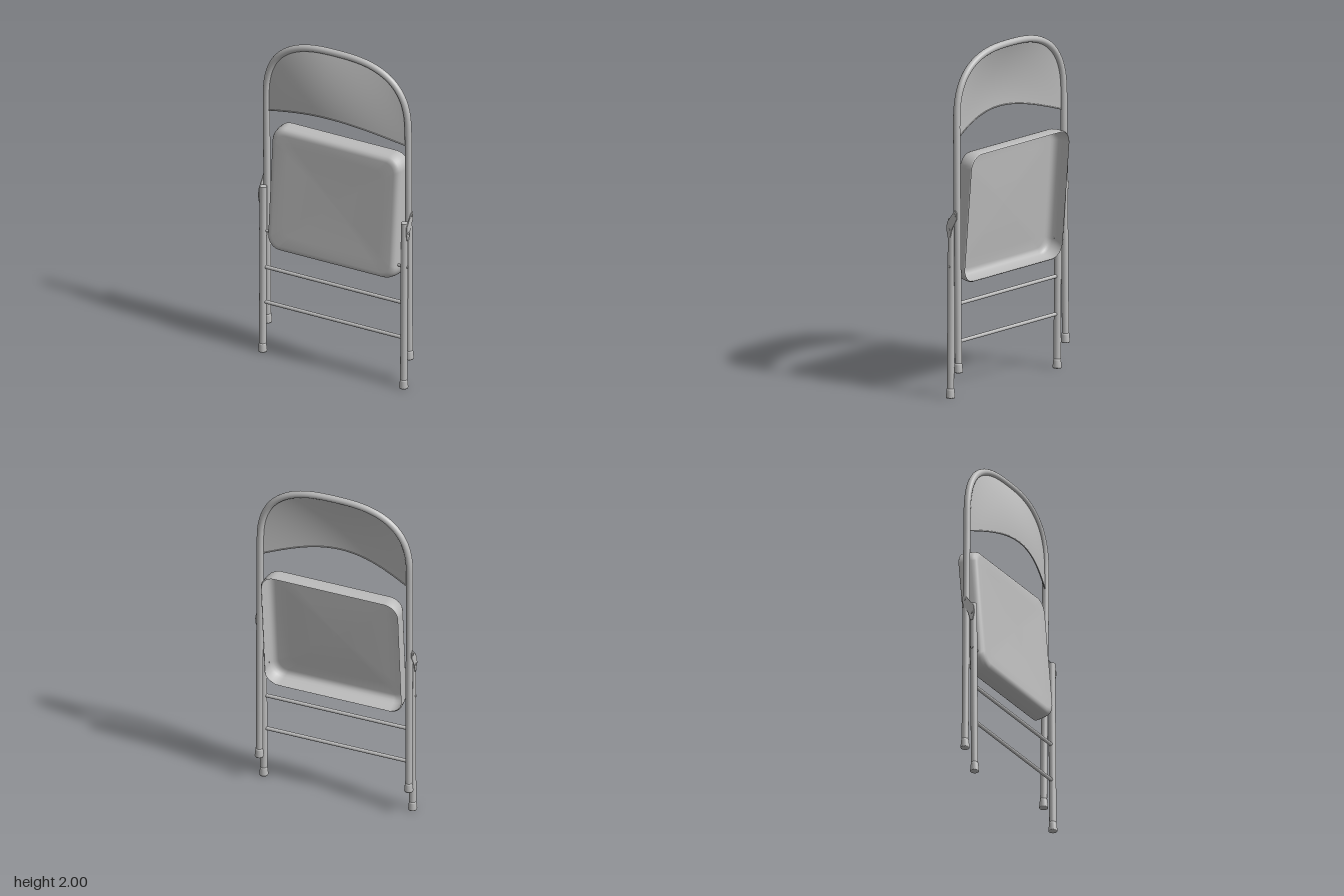
import * as THREE from 'three';

export function createModel() {
  const steel = new THREE.MeshStandardMaterial({ color: 0xbcbcbc, side: THREE.DoubleSide });
  steel.name = 'grey painted steel';

  const model = new THREE.Group();
  const chair = new THREE.Group();
  chair.name = 'foldedChair';
  chair.rotation.y = -0.535;
  model.add(chair);

  const add = (name, geometry) => {
    const mesh = new THREE.Mesh(geometry, steel);
    mesh.name = name;
    chair.add(mesh);
    return mesh;
  };
  const V = (x, y, z) => new THREE.Vector3(x, y, z);
  // straight round bar between two points
  const bar = (name, a, b, r, sides = 16) => {
    const mesh = add(name, new THREE.CylinderGeometry(r, r, a.distanceTo(b), sides));
    mesh.position.copy(a).add(b).multiplyScalar(0.5);
    mesh.quaternion.setFromUnitVectors(V(0, 1, 0), b.clone().sub(a).normalize());
    return mesh;
  };

  // Long frame: two legs joined by a squarish arch
  const HALF = 0.457, SPRING = 1.58, RISE = 0.4, POWER = 2.7;
  const frameZ = y => -0.026 + 0.009 * y;
  const archY = s => SPRING + RISE * Math.pow(Math.max(0, 1 - Math.pow(Math.abs(s), POWER)), 1 / POWER);
  const path = [0.18, 0.6, 1.0, 1.3, 1.48].map(y => V(-HALF, y, frameZ(y)));
  for (let i = 0; i <= 24; i++) {
    const a = Math.PI * (1 - i / 24), c = Math.cos(a);
    const x = Math.sign(c) * Math.pow(Math.abs(c), 2 / POWER);
    const y = SPRING + RISE * Math.pow(Math.abs(Math.sin(a)), 2 / POWER);
    path.push(V(HALF * x, y, frameZ(y)));
  }
  for (const y of [1.48, 1.3, 1.0, 0.6, 0.18]) path.push(V(HALF, y, frameZ(y)));
  add('longFrame', new THREE.TubeGeometry(new THREE.CatmullRomCurve3(path), 160, 0.02, 14));

  // Backrest: sheet filling the arch, bowed towards +z along its lower edge
  const sheetPoint = (s, t) => {
    const low = 1.505 + 0.095 * Math.cos(s * Math.PI / 2);
    const y = low + (archY(s) - low) * t;
    return V(HALF * s, y, frameZ(y) + 0.082 * Math.cos(s * Math.PI / 2) * (1 - t * t));
  };
  const sheet = new THREE.PlaneGeometry(2, 1, 48, 14);
  const sp = sheet.attributes.position;
  for (let i = 0; i < sp.count; i++) {
    const s = Math.sin(sp.getX(i) * Math.PI / 2); // closer columns near the sides
    const p = sheetPoint(s, sp.getY(i) + 0.5);
    sp.setXYZ(i, p.x, p.y, p.z);
  }
  sheet.computeVertexNormals();
  add('backrest', sheet);
  const hem = [];
  for (let i = 0; i <= 16; i++) hem.push(sheetPoint(i / 8 - 1, 0));
  add('backrestHem', new THREE.TubeGeometry(new THREE.CatmullRomCurve3(hem), 48, 0.004, 6));

  // Seat: hollow pan lofted from rounded rectangles, open towards -z
  const loop = (hw, hh, r) => {
    const pts = [];
    [[1, 1], [-1, 1], [-1, -1], [1, -1]].forEach(([sx, sy], q) => {
      for (let k = 0; k <= 8; k++) {
        const a = (q + k / 8) * Math.PI / 2;
        pts.push([sx * (hw - r) + r * Math.cos(a), sy * (hh - r) + r * Math.sin(a)]);
      }
    });
    return pts;
  };
  // [inset, z, scale]; the last loops shrink to the middle of the slightly dished face
  const rings = [[0.006, -0.058, 1], [0, -0.052, 1], [0.002, -0.012, 1], [0.007, 0.02, 1], [0.014, 0.036, 1],
    [0.026, 0.046, 1], [0.043, 0.05, 1], [0.043, 0.048, 0.8], [0.043, 0.045, 0.55], [0.043, 0.043, 0.28], [0.043, 0.042, 0]];
  const pos = [], idx = [];
  let n = 0;
  for (const [inset, z, k] of rings) {
    const pts = loop(0.422 - inset, 0.38 - inset, 0.085 - inset * 0.6);
    n = pts.length;
    for (const [x, y] of pts) pos.push(x * k, y * k, z);
  }
  for (let r = 0; r < rings.length - 1; r++) {
    for (let i = 0; i < n; i++) {
      const a = r * n + i, b = r * n + (i + 1) % n;
      idx.push(a, b, a + n, b, b + n, a + n);
    }
  }
  const pan = new THREE.BufferGeometry();
  pan.setAttribute('position', new THREE.Float32BufferAttribute(pos, 3));
  pan.setIndex(idx);
  pan.computeVertexNormals();
  const seat = add('seat', pan);
  seat.position.set(0, 1.043, -0.006);
  seat.rotation.x = -0.085;

  // Feet: flared caps
  const cap = new THREE.LatheGeometry([[0, 0], [0.024, 0], [0.026, 0.006], [0.022, 0.045], [0.021, 0.055], [0, 0.056]]
    .map(([x, y]) => new THREE.Vector2(x, y)), 18);

  // Hinge plate outline in (z, y)
  const plate = new THREE.Shape([[-0.03, 1.085], [-0.018, 1.1], [-0.006, 1.085], [0.042, 1.02], [0.046, 0.98],
    [0.036, 0.935], [0.02, 0.935], [0.008, 0.98], [-0.03, 1.05]].map(([z, y]) => new THREE.Vector2(-z, y)));
  const plateGeometry = new THREE.ExtrudeGeometry(plate, { depth: 0.005, bevelEnabled: false });

  const legZ = y => 0.036 - 0.008 * y;
  for (const side of [-1, 1]) {
    const x = side * 0.455;
    // Short frame leg with a flat top
    bar('shortLeg', V(x, 0.03, legZ(0)), V(x, 1.04, legZ(1)), 0.0205);
    add('shortLegFoot', cap).position.set(x, 0, legZ(0));
    add('longLegFoot', cap).position.set(side * HALF, 0.158, frameZ(0.16));

    // Hinge plate outside the tubes, with rivets
    const hinge = add('hingePlate', plateGeometry);
    hinge.rotation.y = Math.PI / 2;
    hinge.position.x = side * 0.4765 - 0.0025;
    bar('hingeRivet', V(side * 0.45, 1.07, frameZ(1)), V(side * 0.482, 1.07, frameZ(1)), 0.008, 10);
    bar('hingeRivet', V(side * 0.45, 0.98, legZ(1)), V(side * 0.482, 0.98, legZ(1)), 0.008, 10);

    // Seat pivot
    bar('seatPivot', V(side * 0.416, 0.765, legZ(0.76)), V(side * 0.479, 0.765, legZ(0.76)), 0.008, 10);
  }

  // Cross bars between the short legs
  for (const y of [0.315, 0.535]) bar('crossBar', V(-0.455, y, legZ(y)), V(0.455, y, legZ(y)), 0.011, 12);

  return model;
}
